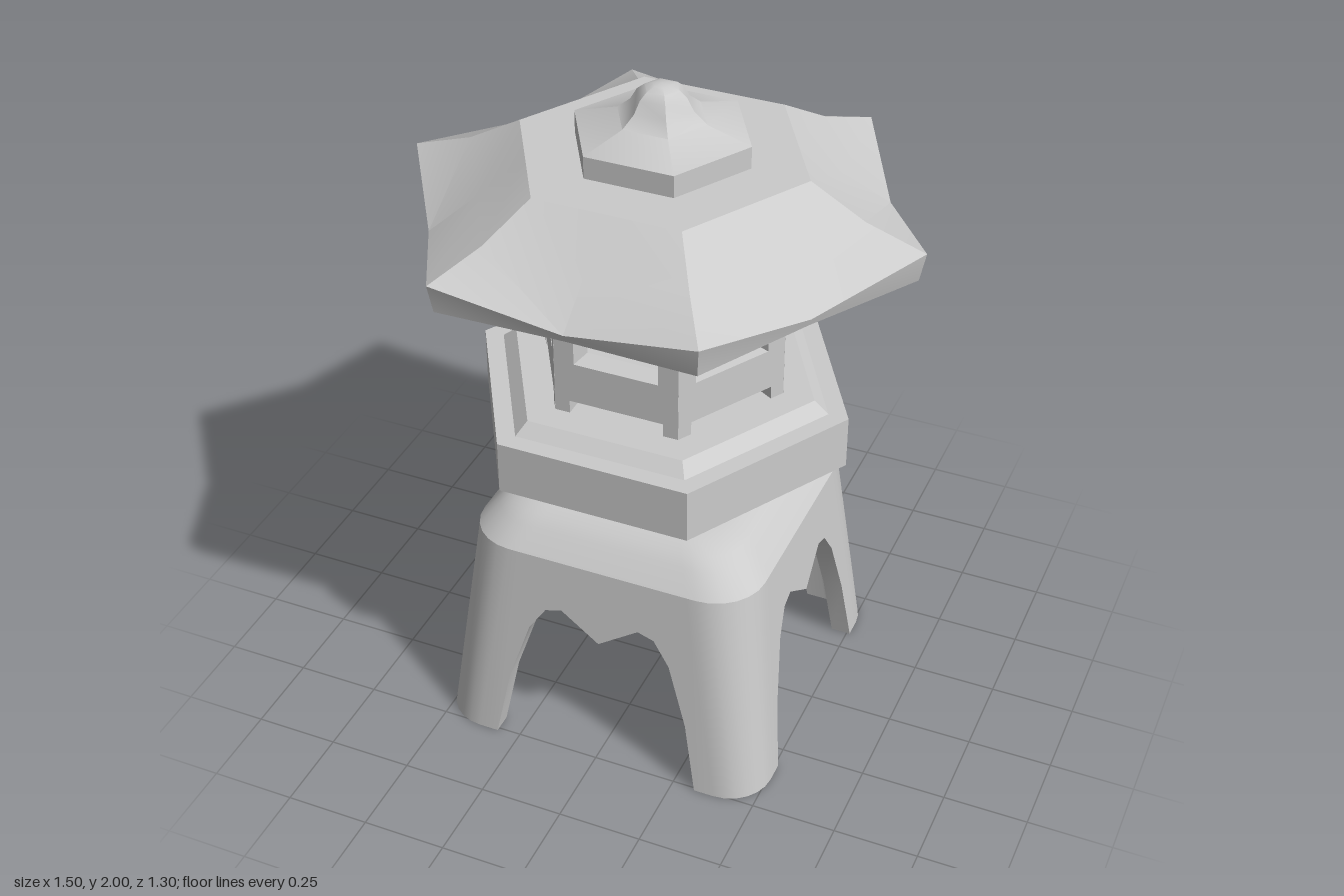
import * as THREE from 'three';
import { toCreasedNormals } from 'three/addons/utils/BufferGeometryUtils.js';

const lerp = THREE.MathUtils.lerp;

function part(name, geometry, crease) {
  const mesh = new THREE.Mesh(toCreasedNormals(geometry, crease), new THREE.MeshStandardMaterial({ color: 0xcccccc }));
  mesh.name = name;
  return mesh;
}

// Hexagonal solid from an outline of [radius, height], bottom to top, corners on the x axis
function hexSolid(name, outline, crease = 0.1) {
  const points = outline.map(([r, y]) => new THREE.Vector2(r, y));
  return part(name, new THREE.LatheGeometry(points, 6, Math.PI / 2), crease);
}

// Surface through closed rings of equal length, ordered from bottom to top
function loft(rings) {
  const n = rings[0].length, index = [];
  for (let j = 0; j < rings.length - 1; j++) {
    for (let i = 0; i < n; i++) {
      const a = j * n + i, b = j * n + (i + 1) % n;
      index.push(a, b, a + n, b, b + n, a + n);
    }
  }
  const geometry = new THREE.BufferGeometry();
  geometry.setAttribute('position', new THREE.Float32BufferAttribute(rings.flat(2), 3));
  geometry.setIndex(index);
  return geometry;
}

// Hollow stand: rounded square skirt with a pointed arch cut in every side
function createStand() {
  const top = 0.66, thickness = 0.06;
  // Half arch: foot x, underside height, x at the top of the skirt
  const half = [[0, 0.42, 0], [0.12, 0.5, 0.1], [0.17, 0.485, 0.14], [0.22, 0.41, 0.18], [0.28, 0.22, 0.22], [0.32, 0, 0.26]];
  const arch = [...half.slice(1).reverse().map(([a, y, b]) => [-a, y, -b]), ...half];
  const ring = (f, inset) => {
    const side = arch.map(([a, y0, b]) => {
      const y = lerp(y0, top, f);
      return [lerp(a, b, f), y, lerp(0.51, 0.44, y / top) - inset];
    });
    const r = lerp(0.13, 0.15, f), c = lerp(0.51, 0.44, f) - r;
    for (let i = 0; i <= 6; i++) {
      const angle = i * Math.PI / 12;
      side.push([c + (r - inset) * Math.sin(angle), top * f, c + (r - inset) * Math.cos(angle)]);
    }
    const points = [];
    for (let k = 0; k < 4; k++) {
      const s = Math.round(Math.sin(k * Math.PI / 2)), q = Math.round(Math.cos(k * Math.PI / 2));
      side.forEach(([x, y, z]) => points.push([x * q + z * s, y, z * q - x * s]));
    }
    return points;
  };
  const rim = ring(1, 0);
  const cap = [[0.39, 0.72], [0.36, 0.747], [0.32, 0.768], [0.26, 0.778], [0, 0.775]].map(
    ([w, y]) => rim.map(([x, , z]) => [x * w / 0.44, y, z * w / 0.44]));
  const ceiling = rim.map(() => [0, top, 0]);
  return part('stand', loft([ceiling, ring(1, thickness), ring(0, thickness), ring(0, 0), rim, ...cap]), 0.45);
}

// One lantern wall with a tapered window, mitred ends and a notch between its feet
function createWallGeometry() {
  const depth = 0.058, path = points => points.map(([x, y]) => new THREE.Vector2(x, y));
  const shape = new THREE.Shape(path([
    [-0.185, 1.105], [-0.14, 1.105], [-0.14, 1.145], [0.14, 1.145],
    [0.14, 1.105], [0.185, 1.105], [0.185, 1.575], [-0.185, 1.575]]));
  shape.holes.push(new THREE.Path(path([[-0.125, 1.27], [-0.125, 1.45], [0.125, 1.45], [0.125, 1.27]])));
  const geometry = new THREE.ExtrudeGeometry(shape, { depth, bevelEnabled: false });
  const p = geometry.attributes.position;
  for (let i = 0; i < p.count; i++) {
    if (p.getZ(i) > depth / 2) continue;
    const x = p.getX(i);
    if (Math.abs(x) > 0.16) p.setX(i, Math.sign(x) * 0.1515);
    if (Math.abs(x) < 0.13) {
      p.setX(i, x * 0.88);
      p.setY(i, 1.36 + (p.getY(i) - 1.36) * 0.92);
    }
  }
  return geometry.translate(0, 0, 0.32 - depth);
}

// Roof with upswept corners: even points are corners, odd points are edge middles
function createRoof() {
  const ring = (corner, cornerY, middle, middleY) => Array.from({ length: 12 }, (_, i) => {
    const a = Math.PI / 2 + i * Math.PI / 6, r = i % 2 ? middle : corner;
    return [r * Math.sin(a), i % 2 ? middleY : cornerY, r * Math.cos(a)];
  });
  return part('roof', loft([
    ring(0, 1.57, 0, 1.57),
    ring(0.735, 1.57, 0.627, 1.57),
    ring(0.752, 1.655, 0.635, 1.592),
    ring(0.58, 1.712, 0.497, 1.695),
    ring(0.424, 1.8, 0.367, 1.8),
    ring(0, 1.8, 0, 1.8)]), 0.31);
}

export function createModel() {
  const model = new THREE.Group();
  model.name = 'stoneLantern';

  model.add(createStand());

  // Platform with a tapered underside and a bevelled step on top
  model.add(hexSolid('platform', [[0, 0.77], [0.32, 0.77], [0.565, 0.91], [0.565, 1.07], [0.505, 1.07], [0.463, 1.105], [0, 1.105]]));

  // Light chamber
  const chamber = new THREE.Group();
  chamber.name = 'lightChamber';
  const wall = createWallGeometry();
  for (let i = 0; i < 6; i++) {
    const mesh = part('windowWall', wall, 0.1);
    mesh.rotation.y = i * Math.PI / 3;
    chamber.add(mesh);
  }
  model.add(chamber);

  model.add(createRoof());

  // Cap block and flared finial
  model.add(hexSolid('roofCap', [[0, 1.79], [0.257, 1.79], [0.257, 1.865], [0, 1.865]]));
  model.add(hexSolid('finial', [[0, 1.865], [0.257, 1.865], [0.13, 1.903], [0.092, 1.935], [0.072, 1.97], [0.05, 1.988], [0.025, 1.997], [0, 2]], 0.6));

  return model;
}
